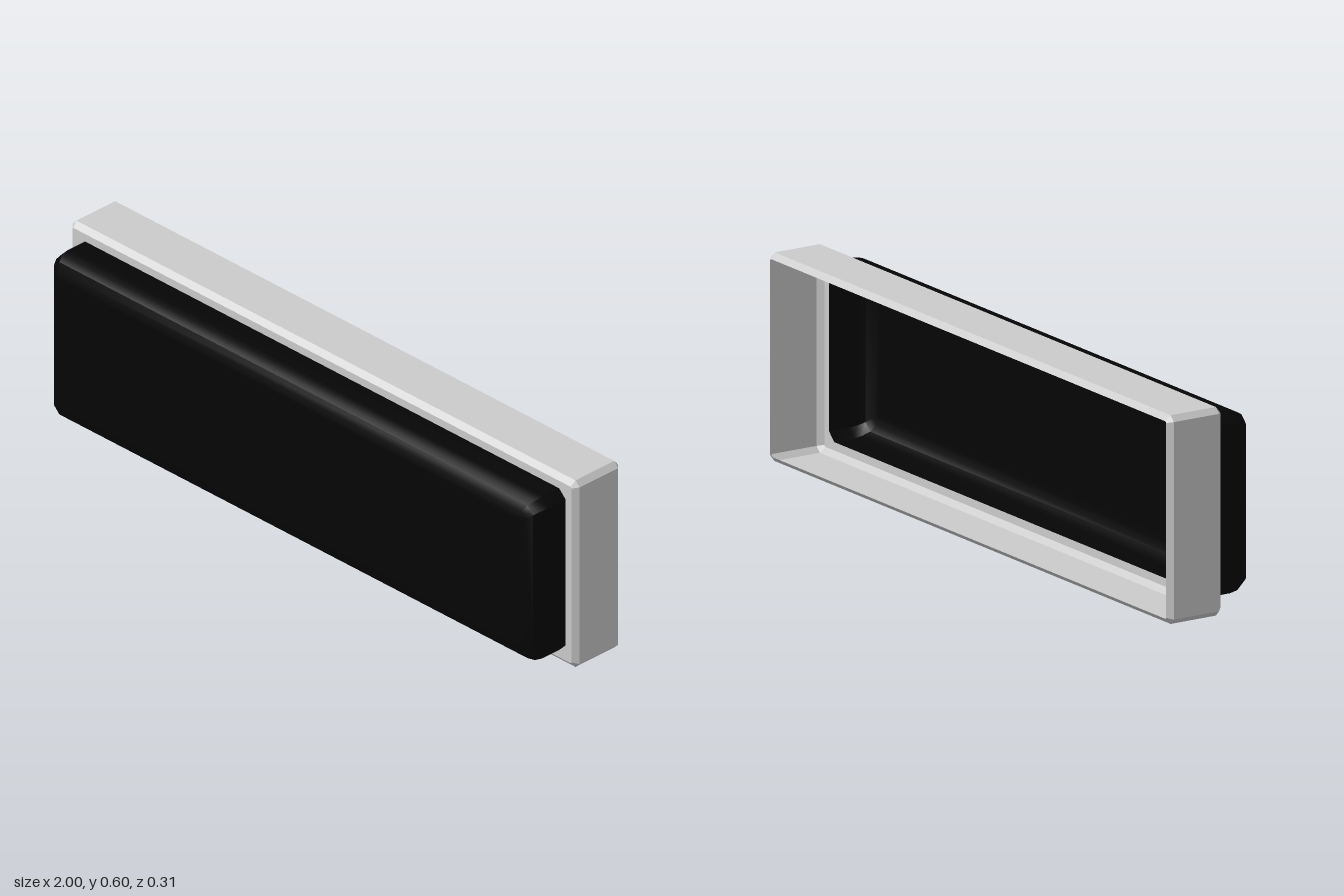
import * as THREE from 'three';
import { toCreasedNormals } from 'three/addons/utils/BufferGeometryUtils.js';

const HALF_W = 1, HALF_H = 0.3;

// Rectangle with clipped corners, inset from the full outline, as eight points.
function ring([inset, z, clip]) {
  const w = HALF_W - inset, h = HALF_H - inset, c = clip;
  return [
    [w, -h + c], [w, h - c], [w - c, h], [-w + c, h],
    [-w, h - c], [-w, -h + c], [-w + c, -h], [w - c, -h],
  ].map(([x, y]) => [x, y + HALF_H, z]);
}

// Skin a sequence of rings from back to front, optionally closing the front.
function shell(name, sections, color, closed) {
  const points = sections.flatMap(ring);
  const index = [];
  for (let s = 0; s < sections.length - 1; s++) {
    for (let i = 0; i < 8; i++) {
      const a = s * 8 + i, b = s * 8 + (i + 1) % 8;
      index.push(a, b, b + 8, a, b + 8, a + 8);
    }
  }
  if (closed) {
    const start = (sections.length - 1) * 8;
    for (let i = 1; i < 7; i++) index.push(start, start + i, start + i + 1);
  }
  const geometry = new THREE.BufferGeometry();
  geometry.setAttribute('position', new THREE.Float32BufferAttribute(points.flat(), 3));
  geometry.setIndex(index);
  const material = new THREE.MeshStandardMaterial({ color, side: THREE.DoubleSide });
  const mesh = new THREE.Mesh(toCreasedNormals(geometry, 0.5), material);
  mesh.name = name;
  return mesh;
}

export function createModel() {
  const group = new THREE.Group();
  group.name = 'framedPanel';

  // Thin bevelled surround, open at the back, with a flat lip at the front
  group.add(shell('frame', [
    [0.016, -0.153, 0.004],
    [0, -0.138, 0.016],
    [0, 0.012, 0.016],
    [0.016, 0.027, 0.004],
    [0.04, 0.027, 0.025],
  ], 0xcccccc, false));

  // Hollow dark cover with rounded front edges
  group.add(shell('cover', [
    [0.04, 0.027, 0.025],
    [0.04, 0.092, 0.025],
    [0.044, 0.118, 0.024],
    [0.055, 0.138, 0.022],
    [0.075, 0.15, 0.016],
    [0.1, 0.153, 0.01],
  ], 0x050505, true));

  return group;
}
